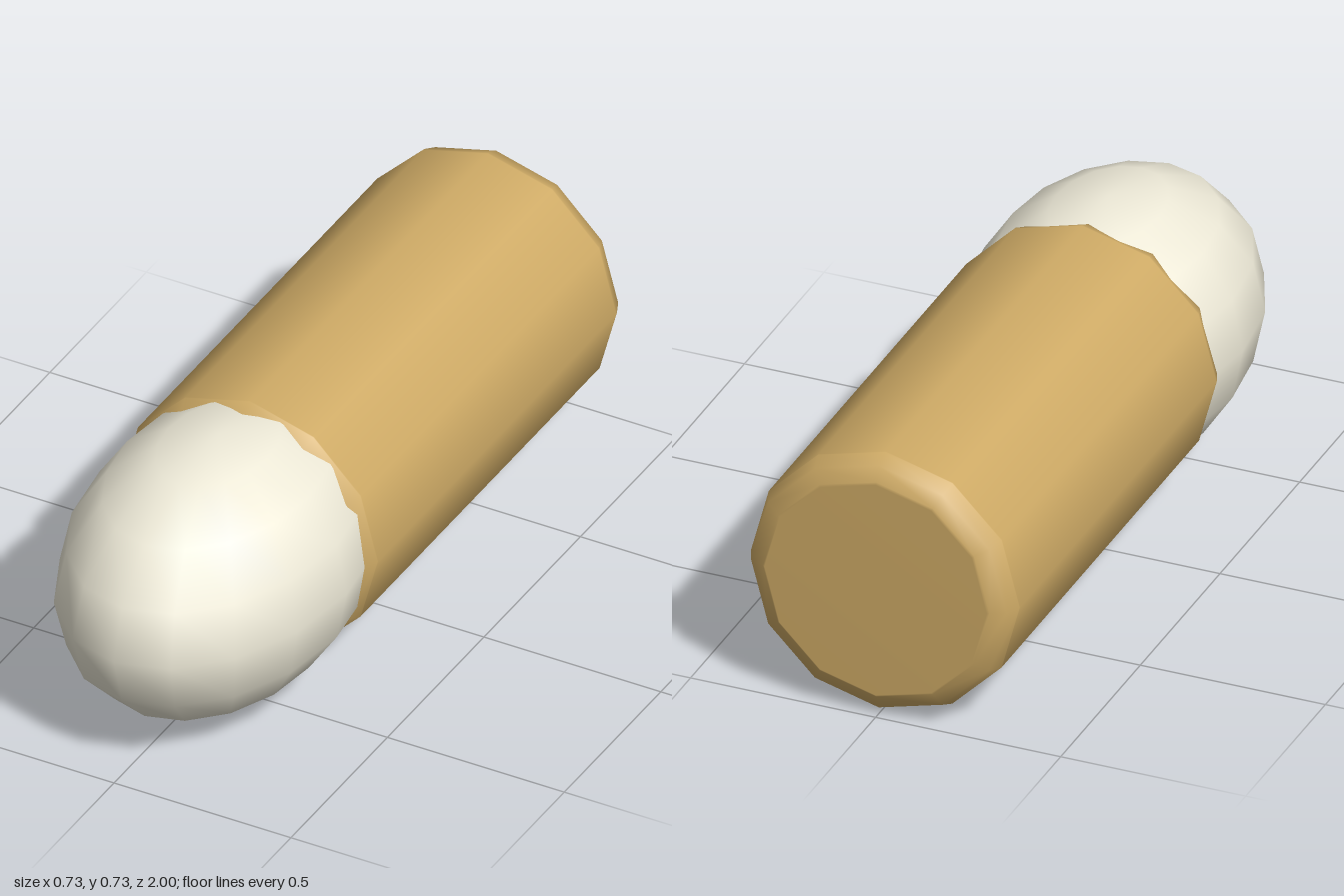
import * as THREE from 'three';

const RADIUS = 0.363;

export function createModel() {
  const group = new THREE.Group();
  group.name = 'bullet';

  // Casing: 12-sided cylinder along z with rounded rims at both ends
  const back = -1, front = 0.36, s = 0.004;
  const rim = [[0, 0], [0.3, 0], [0.306, s], [0.345, 0.02], [RADIUS, 0.06], [RADIUS, 0.064]];
  const profile = [
    ...rim.map(([r, d]) => new THREE.Vector2(r, back + d)),
    ...rim.map(([r, d]) => new THREE.Vector2(r, front - d)).reverse(),
  ];
  const casing = new THREE.Mesh(
    new THREE.LatheGeometry(profile, 12).rotateX(Math.PI / 2),
    new THREE.MeshStandardMaterial({ color: 0xcfab66 })
  );
  casing.name = 'casing';
  casing.position.y = RADIUS;

  // Tip: stretched low-poly sphere, poles up and down, set into the casing mouth
  const tip = new THREE.Mesh(
    new THREE.SphereGeometry(1, 16, 8).scale(RADIUS, RADIUS, 0.54),
    new THREE.MeshStandardMaterial({ color: 0xeeead8 })
  );
  tip.name = 'tip';
  tip.position.set(0, RADIUS, 0.46);

  group.add(casing, tip);
  return group;
}
